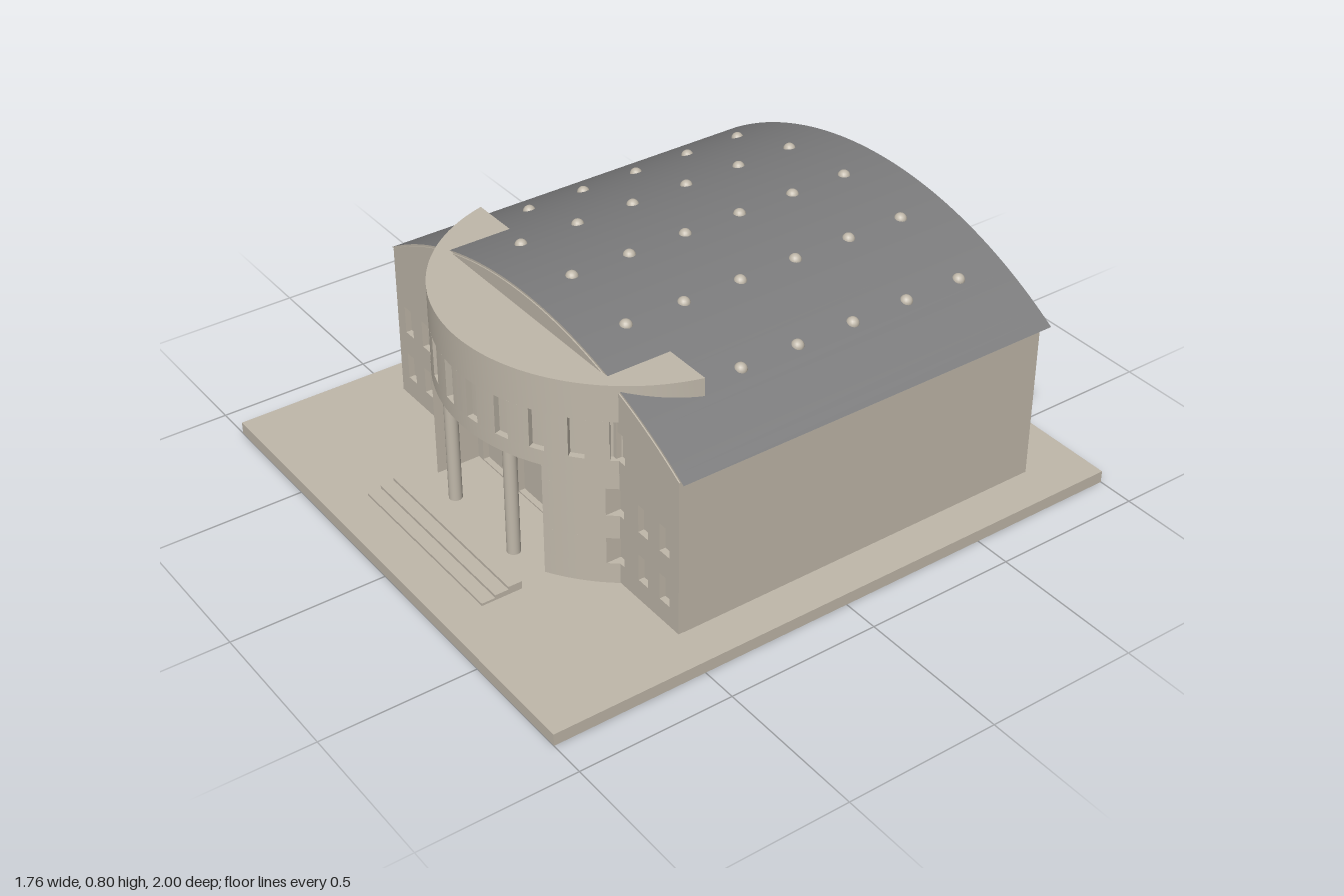
import * as THREE from 'three';
import { toCreasedNormals } from 'three/addons/utils/BufferGeometryUtils.js';

const stone = new THREE.MeshStandardMaterial({ color: 0xc0b8aa });
stone.name = 'stone';
const roofing = new THREE.MeshStandardMaterial({ color: 0x7c7c7d });
roofing.name = 'roofing';

const DRUM_R = 0.59, DRUM_Z = 0.13, CUT_Z = 0.28, RECESS = 0.02;
const ROOF_R = 1.4227, ROOF_Y = 0.78 - ROOF_R;
const roofHeight = (x, r = ROOF_R) => Math.sqrt(r * r - x * x) + ROOF_Y;
const drumZ = x => DRUM_Z + Math.sqrt(DRUM_R * DRUM_R - x * x);

export function createModel() {
  const model = new THREE.Group();

  function add(name, geometry, material = stone, x = 0, y = 0, z = 0, parent = model) {
    const mesh = new THREE.Mesh(geometry, material);
    mesh.name = name;
    mesh.position.set(x, y, z);
    parent.add(mesh);
    return mesh;
  }
  const box = (name, w, y0, y1, z0, z1) =>
    add(name, new THREE.BoxGeometry(w, y1 - y0, z1 - z0), stone, 0, (y0 + y1) / 2, (z0 + z1) / 2);

  // Horizontal plan of [x, z] points raised from y0 to y1
  function raise(name, plan, y0, y1, parent = model) {
    const shape = new THREE.Shape(plan.map(([x, z]) => new THREE.Vector2(x, -z)));
    const g = new THREE.ExtrudeGeometry(shape, { depth: y1 - y0, bevelEnabled: false });
    g.rotateX(-Math.PI / 2);
    return add(name, toCreasedNormals(g, 0.4), stone, 0, y0, 0, parent);
  }
  // Points on an arc about the drum's axis, angles measured from the front
  function arc(r, a0, a1, n) {
    return Array.from({ length: n + 1 }, (_, i) => {
      const a = a0 + (a1 - a0) * i / n;
      return [r * Math.sin(a), DRUM_Z + r * Math.cos(a)];
    });
  }
  // Points on the roof curve
  function roofCurve(half, r) {
    return Array.from({ length: 49 }, (_, i) => {
      const x = half - 2 * half * i / 48;
      return new THREE.Vector2(x, roofHeight(x, r));
    });
  }

  // Ground slab and main hall
  box('groundSlab', 1.76, 0, 0.04, -1, 1);
  box('hall', 1.49, 0.04, 0.56, -0.81, 0.494 - RECESS);

  // Vaulted roof with stone gable ends
  const vault = new THREE.ExtrudeGeometry(new THREE.Shape(roofCurve(0.76, ROOF_R)),
    { depth: 1.33, bevelEnabled: false });
  add('vaultedRoof', toCreasedNormals(vault, 0.4), [stone, roofing], 0, 0, -0.84);

  // Front wall with recessed windows and doors
  const facade = new THREE.Shape([new THREE.Vector2(-0.745, 0.041), new THREE.Vector2(0.745, 0.041),
    ...roofCurve(0.745, ROOF_R - 0.006)]);
  function opening(x0, x1, y0, y1) {
    facade.holes.push(new THREE.Path([[x0, y0], [x0, y1], [x1, y1], [x1, y0]]
      .map(p => new THREE.Vector2(...p))));
  }
  const rows = [[0.11, 0.2], [0.28, 0.373]];
  for (const s of [-1, 1]) {
    for (const x of [0.462, 0.577, 0.678])
      for (const [y0, y1] of rows) opening(s * x - 0.023, s * x + 0.023, y0, y1);
    opening(s * 0.472 - 0.02, s * 0.472 + 0.02, 0.47, 0.6);
  }
  for (const x of [-0.2, 0, 0.2]) {
    opening(x - 0.072, x + 0.072, 0.27, 0.36);
    opening(x - 0.067, x + 0.067, 0.046, 0.217);
  }
  add('frontWall', new THREE.ExtrudeGeometry(facade, { depth: RECESS, bevelEnabled: false }),
    stone, 0, 0, 0.494 - RECESS);

  // Round drum above the entrance
  const drum = new THREE.Group();
  drum.name = 'drum';
  model.add(drum);
  const end = Math.acos((CUT_Z - DRUM_Z) / DRUM_R);
  const inner = DRUM_R - RECESS;
  const innerEnd = Math.acos((CUT_Z - DRUM_Z) / inner);
  raise('drumLintel', arc(DRUM_R, -end, end, 64), 0.42, 0.47, drum);
  raise('drumWindowBacks', arc(inner, -innerEnd, innerEnd, 64), 0.47, 0.6, drum);
  raise('drumParapet', arc(DRUM_R, -end, end, 64), 0.6, 0.72, drum);

  // Piers between the ten drum windows
  const step = 11.5 * Math.PI / 180, halfWindow = 0.0235 / DRUM_R;
  for (let i = 0; i <= 10; i++) {
    const a0 = i === 0 ? -end : (i - 5.5) * step + halfWindow;
    const a1 = i === 10 ? end : (i - 4.5) * step - halfWindow;
    raise('drumPier', [...arc(DRUM_R, a0, a1, 8), ...arc(inner, a1, a0, 8)], 0.47, 0.6, drum);
  }

  // Curved walls either side of the porch, notched by the corner windows
  const layers = [[0.04, 0.11, 0.47], [0.11, 0.2, 0.439], [0.2, 0.28, 0.47],
    [0.28, 0.373, 0.439], [0.373, 0.42, 0.47]];
  for (const s of [-1, 1]) {
    for (const [y0, y1, xMax] of layers) {
      const plan = [[s * 0.295, 0.48]];
      for (let i = 0; i <= 12; i++) {
        const x = 0.295 + (xMax - 0.295) * i / 12;
        plan.push([s * x, drumZ(x)]);
      }
      plan.push([s * xMax, 0.48]);
      raise('porchSideWall', plan, y0, y1, drum);
    }
    // Porch column
    add('column', new THREE.CylinderGeometry(0.021, 0.021, 0.38, 24), stone, s * 0.16, 0.23, 0.66);
  }

  // Entrance steps
  for (let i = 0; i < 3; i++)
    box('entranceStep', 0.64, 0.04, 0.066 - i * 0.009, 0.735, 0.78 + i * 0.045);

  // Grid of small roof domes
  const domes = new THREE.Group();
  domes.name = 'roofDomes';
  model.add(domes);
  const ball = new THREE.SphereGeometry(0.02, 16, 12);
  for (let i = -2; i <= 2; i++)
    for (let j = 0; j < 6; j++) {
      const x = i * 0.267;
      add('roofDome', ball, stone, x, roofHeight(x) - 0.005, 0.33 - j * 0.2, domes);
    }

  return model;
}
